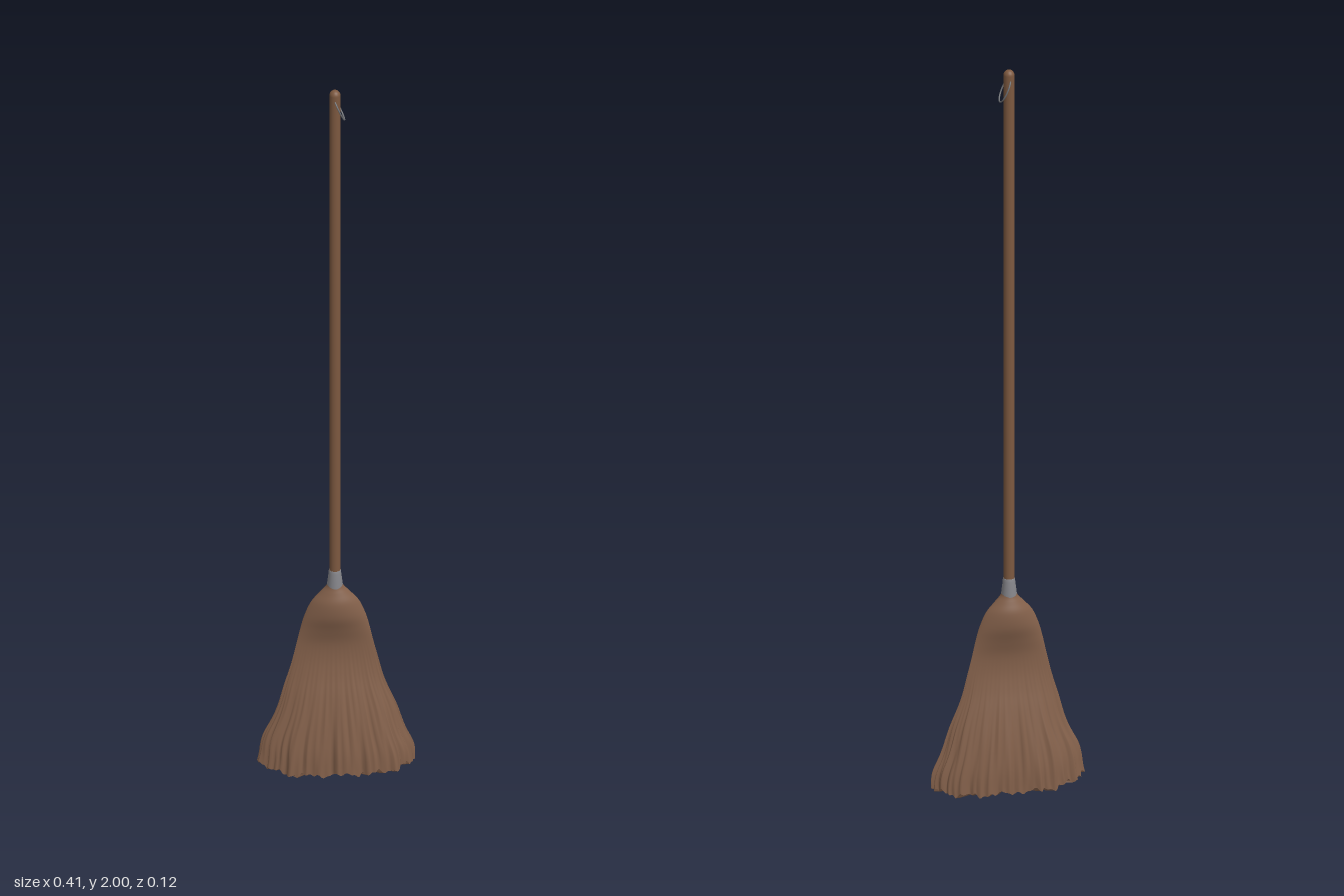
import * as THREE from 'three';

const paint = (name, color) => {
  const m = new THREE.MeshStandardMaterial({ color });
  m.name = name;
  return m;
};

// Closed surface strip through equal rings of points, ordered from top to bottom
function loft(rings) {
  const n = rings[0].length, pos = [], idx = [];
  rings.forEach((ring) => ring.forEach((p) => pos.push(p.x, p.y, p.z)));
  for (let i = 0; i < rings.length - 1; i++) {
    for (let j = 0; j < n; j++) {
      const a = i * n + j, b = i * n + (j + 1) % n;
      idx.push(a, b, a + n, b, b + n, a + n);
    }
  }
  const g = new THREE.BufferGeometry();
  g.setAttribute('position', new THREE.Float32BufferAttribute(pos, 3));
  g.setIndex(idx);
  g.computeVertexNormals();
  return g;
}

export function createModel() {
  const group = new THREE.Group();
  const wood = paint('handle brown', 0x7c583f);
  const straw = paint('bristle brown', 0x83604a);
  const metal = paint('collar grey', 0x85858a);
  const wire = paint('loop grey', 0x6c6e72);
  const add = (name, geometry, material) => {
    const mesh = new THREE.Mesh(geometry, material);
    mesh.name = name;
    group.add(mesh);
    return mesh;
  };
  const lathe = (pts) => new THREE.LatheGeometry(pts.map(([r, y]) => new THREE.Vector2(r, y)), 32);

  // Handle with a rounded top
  const handle = [[0.0145, 0.55], [0.0145, 1.985]];
  for (let i = 1; i <= 6; i++) {
    const a = i * Math.PI / 12;
    handle.push([0.0145 * Math.cos(a), 1.985 + 0.015 * Math.sin(a)]);
  }
  add('handle', lathe(handle), wood);

  // Tapered collar
  add('collar', lathe([[0.021, 0.535], [0.0205, 0.55], [0.0165, 0.582], [0.016, 0.59], [0.0143, 0.591]]), metal);

  // Hanging loop, leaning out from the handle
  const loopPath = new THREE.CatmullRomCurve3(
    Array.from({ length: 16 }, (_, i) => {
      const a = i * Math.PI / 8, s = Math.cos(a);
      return new THREE.Vector3(0.011 - 0.014 * s, 1.945 + 0.031 * s, 0.024 * Math.sin(a));
    }), true);
  add('hangingLoop', new THREE.TubeGeometry(loopPath, 48, 0.0021, 8, true), wire);

  // Bristle profile: half width, height, half depth
  const profile = new THREE.CatmullRomCurve3([
    [0.018, 0.56, 0.018], [0.022, 0.545, 0.02], [0.038, 0.527, 0.026], [0.062, 0.5, 0.034],
    [0.08, 0.46, 0.033], [0.091, 0.42, 0.021], [0.1, 0.38, 0.011], [0.111, 0.335, 0.0095],
    [0.124, 0.285, 0.016], [0.141, 0.23, 0.028], [0.162, 0.17, 0.04], [0.182, 0.115, 0.049],
    [0.196, 0.065, 0.055], [0.203, 0.012, 0.057],
  ].map((p) => new THREE.Vector3(...p)));
  const SEG = 224, ROWS = 56;

  // Uneven folds that run down the bristles
  const folds = (a, y) =>
    0.45 * Math.sin(9 * a + 5 * y + 1) + 0.4 * Math.sin(17 * a - 7 * y + 2.3) +
    0.45 * Math.sin(29 * a + 9 * y + 0.4) + 0.3 * Math.sin(47 * a - 12 * y + 4);
  const hemLift = (a) =>
    0.004 * Math.sin(13 * a + 1) + 0.003 * Math.sin(31 * a + 2) + 0.003 * Math.sin(53 * a);

  const rings = [];
  for (let i = 0; i <= ROWS; i++) {
    const c = profile.getPoint(i / ROWS);
    const flat = THREE.MathUtils.smoothstep(0.56 - c.y, 0, 0.08);
    const t = THREE.MathUtils.clamp((0.38 - c.y) / 0.36, 0, 1);
    const hem = THREE.MathUtils.smoothstep(0.16 - c.y, 0, 0.15);
    const ring = [];
    for (let j = 0; j < SEG; j++) {
      const a = j / SEG * Math.PI * 2, u = Math.cos(a), s = Math.sin(a);
      const f = folds(a, c.y) * t;
      const flare = 1 - t * 0.15 + 0.6 * t * u * u;
      const z = Math.sign(s) * c.z * Math.pow(Math.abs(s), 1 + 0.55 * flat) * flare;
      ring.push(new THREE.Vector3(
        u * (c.x + 0.006 * f) + 0.004 * t * Math.sin(40 * c.y) * u * u,
        c.y + hem * (hemLift(a) + 0.022 * Math.pow(Math.abs(u), 4) - 0.007 * u * u * u),
        z * (1 + 0.11 * f) + s * 0.0035 * t + 0.002 * t * Math.sin(61 * a + 8 * c.y) * s));
    }
    rings.push(ring);
  }
  add('bristles', loft(rings), straw);

  // Ragged underside, closed toward the middle
  const hemRing = rings[ROWS];
  const under = [1, 0.93, 0.8, 0.6, 0.35, 0.001].map((k, i) => hemRing.map((p, j) => {
    const a = j / SEG * Math.PI * 2;
    const rough = i % 5 ? 0.002 * Math.sin(23 * a + i * 2) : 0;
    return new THREE.Vector3(p.x * k, THREE.MathUtils.lerp(0.014, p.y, k) + rough, p.z * k);
  }));
  add('bristleEnds', loft(under), straw);

  return group;
}
